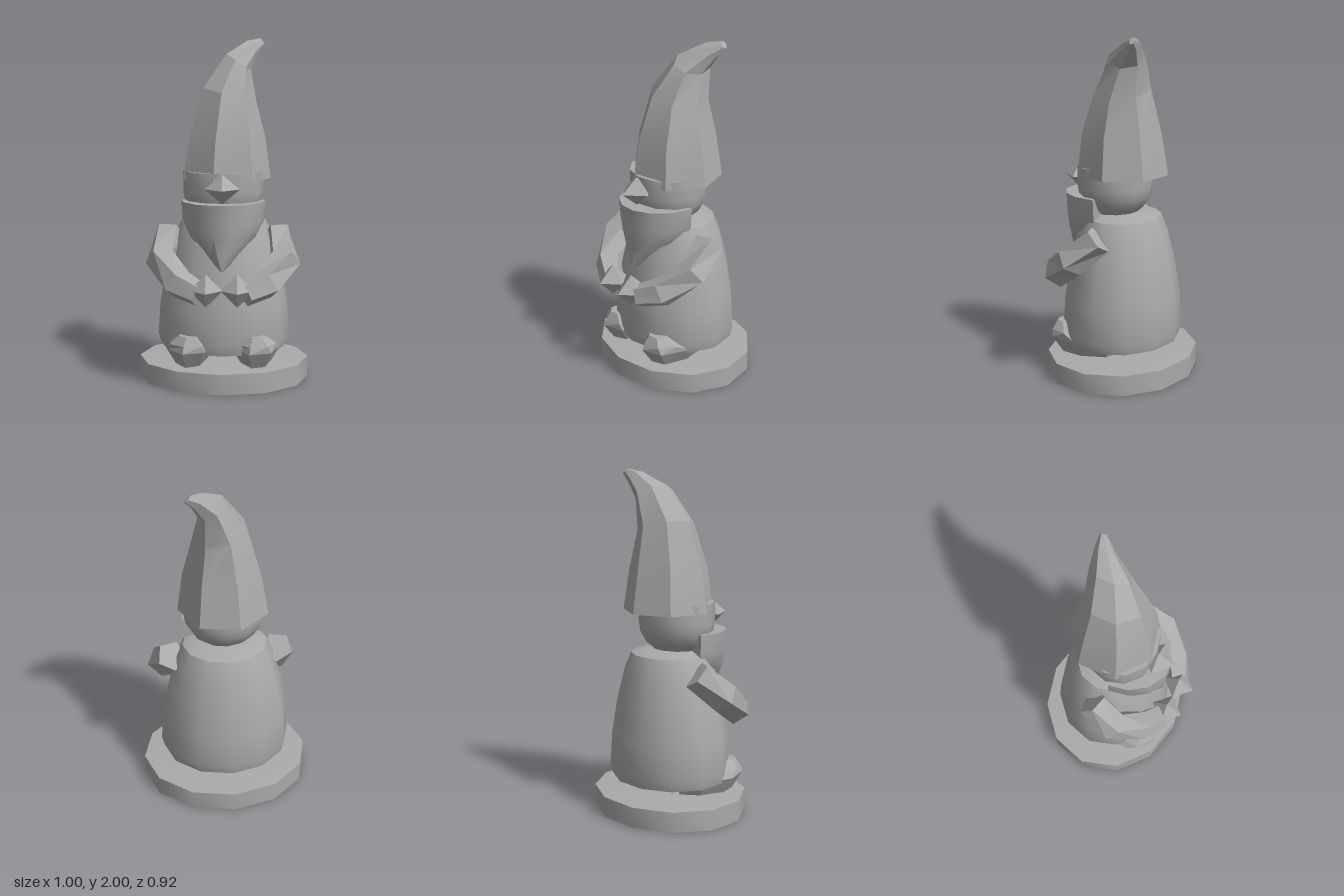
import * as THREE from 'three';
import { toCreasedNormals } from 'three/addons/utils/BufferGeometryUtils.js';

const V = (x, y, z) => new THREE.Vector3(x, y, z);

// Closed skin over a list of equal-length rings, capped at both ends
function loft(rings, crease = 0.3) {
  const n = rings[0].length, pos = [];
  const tri = (...pts) => pts.forEach((p) => pos.push(p.x, p.y, p.z));
  const centre = (ring) => ring.reduce((s, p) => s.add(p), V(0, 0, 0)).divideScalar(n);
  const first = rings[0], last = rings[rings.length - 1];
  const c0 = centre(first), c1 = centre(last);
  for (let i = 0; i < n; i++) {
    const j = (i + 1) % n;
    for (let k = 0; k < rings.length - 1; k++) {
      const a = rings[k], b = rings[k + 1];
      tri(a[i], b[i], a[j]);
      tri(b[i], b[j], a[j]);
    }
    tri(c0, first[i], first[j]);
    tri(c1, last[j], last[i]);
  }
  const geo = new THREE.BufferGeometry();
  geo.setAttribute('position', new THREE.Float32BufferAttribute(pos, 3));
  return toCreasedNormals(geo, crease);
}

// Elliptical ring around (x, y, z); tilt lowers its +x side
function ring(sides, x, y, z, rx, rz, tilt = 0) {
  return Array.from({ length: sides }, (_, i) => {
    const a = (i / sides) * Math.PI * 2, dx = Math.cos(a) * rx;
    return V(x + dx, y - dx * tilt, z + Math.sin(a) * rz);
  });
}

// Faceted limb along a list of [x, y, z, radius]
function limb(path, sides) {
  const pts = path.map((p) => V(p[0], p[1], p[2]));
  return loft(pts.map((p, k) => {
    const t = pts[Math.min(k + 1, pts.length - 1)].clone().sub(pts[Math.max(k - 1, 0)]).normalize();
    const u = V(0, 1, 0).addScaledVector(t, -t.y).normalize();
    const v = u.clone().cross(t);
    return Array.from({ length: sides }, (_, i) => {
      const a = ((i + 0.5) / sides) * Math.PI * 2;
      return p.clone().addScaledVector(u, Math.cos(a) * path[k][3]).addScaledVector(v, Math.sin(a) * path[k][3]);
    });
  }));
}

// Twelve-sided turned form, squashed in depth
function turned(profile, depth, z) {
  const geo = new THREE.LatheGeometry(profile.map(([r, y]) => new THREE.Vector2(r, y)), 12);
  geo.scale(1, 1, depth).translate(0, 0, z);
  return toCreasedNormals(geo, 0.75);
}

export function createModel() {
  const group = new THREE.Group();
  const stone = new THREE.MeshStandardMaterial({ color: 0xaaaaaa });
  stone.name = 'stone grey';
  const add = (name, geo) => {
    const mesh = new THREE.Mesh(geo, stone);
    mesh.name = name;
    group.add(mesh);
    return mesh;
  };

  // Plinth with a slightly raised centre
  add('base', turned([[0, 0], [0.5, 0], [0.5, 0.12], [0, 0.15]], 0.86, -0.033));

  // Robe and head
  add('body', turned([[0, 0.2], [0.375, 0.2], [0.39, 0.26], [0.377, 0.45], [0.343, 0.65],
    [0.29, 0.85], [0.25, 0.94], [0.16, 0.965], [0, 0.97]], 0.88, -0.032));
  add('head', turned([[0, 0.93], [0.13, 0.95], [0.19, 1.0], [0.225, 1.06],
    [0.235, 1.12], [0.235, 1.24], [0, 1.24]], 0.93, 0.015));

  // Beard: half-round sections narrowing to a point
  const beardRows = [[0.69, 0.012, 0.26, 0.03], [0.77, 0.11, 0.1, 0.2], [0.87, 0.205, 0.05, 0.26],
    [0.95, 0.237, 0.04, 0.275], [1.07, 0.245, 0.04, 0.28]];
  add('beard', loft(beardRows.map(([y, w, z, d]) => Array.from({ length: 8 }, (_, i) => {
    const a = (i / 7) * Math.PI;
    return V(Math.cos(a) * w, y, z + Math.sin(a) * d);
  })), 0.6));

  // Nose
  const nose = add('nose', new THREE.OctahedronGeometry(1));
  nose.scale.set(0.1, 0.085, 0.1);
  nose.position.set(0, 1.155, 0.245);

  // Seven-sided pointed hat bending to one side
  add('hat', loft([
    ring(7, 0.007, 1.19, -0.035, 0.267, 0.268),
    ring(7, 0.012, 1.43, -0.03, 0.23, 0.235),
    ring(7, 0.028, 1.68, -0.04, 0.16, 0.17, 0.25),
    ring(7, 0.083, 1.865, -0.09, 0.075, 0.12, 0.65),
    ring(7, 0.165, 1.95, -0.16, 0.035, 0.055, 1.1),
    ring(7, 0.225, 1.983, -0.197, 0.016, 0.017, 1.1),
  ]));

  // Mirrored arms, hands and shoes
  for (const [side, s] of [['left', 1], ['right', -1]]) {
    add(side + 'Arm', limb([
      [s * 0.315, 0.865, -0.03, 0.09],
      [s * 0.355, 0.73, 0.12, 0.095],
      [s * 0.25, 0.615, 0.265, 0.09],
      [s * 0.13, 0.57, 0.34, 0.07],
    ], 5));

    const hand = add(side + 'Hand', new THREE.OctahedronGeometry(0.095));
    hand.position.set(s * 0.088, 0.595, 0.36);

    add(side + 'Shoe', loft([
      ring(7, s * 0.19, 0.125, 0.1, 0.09, 0.18),
      ring(7, s * 0.19, 0.22, 0.11, 0.145, 0.235),
      ring(7, s * 0.19, 0.26, 0.2, 0.12, 0.13),
      ring(7, s * 0.19, 0.31, 0.24, 0.06, 0.06),
    ]));
  }
  return group;
}
